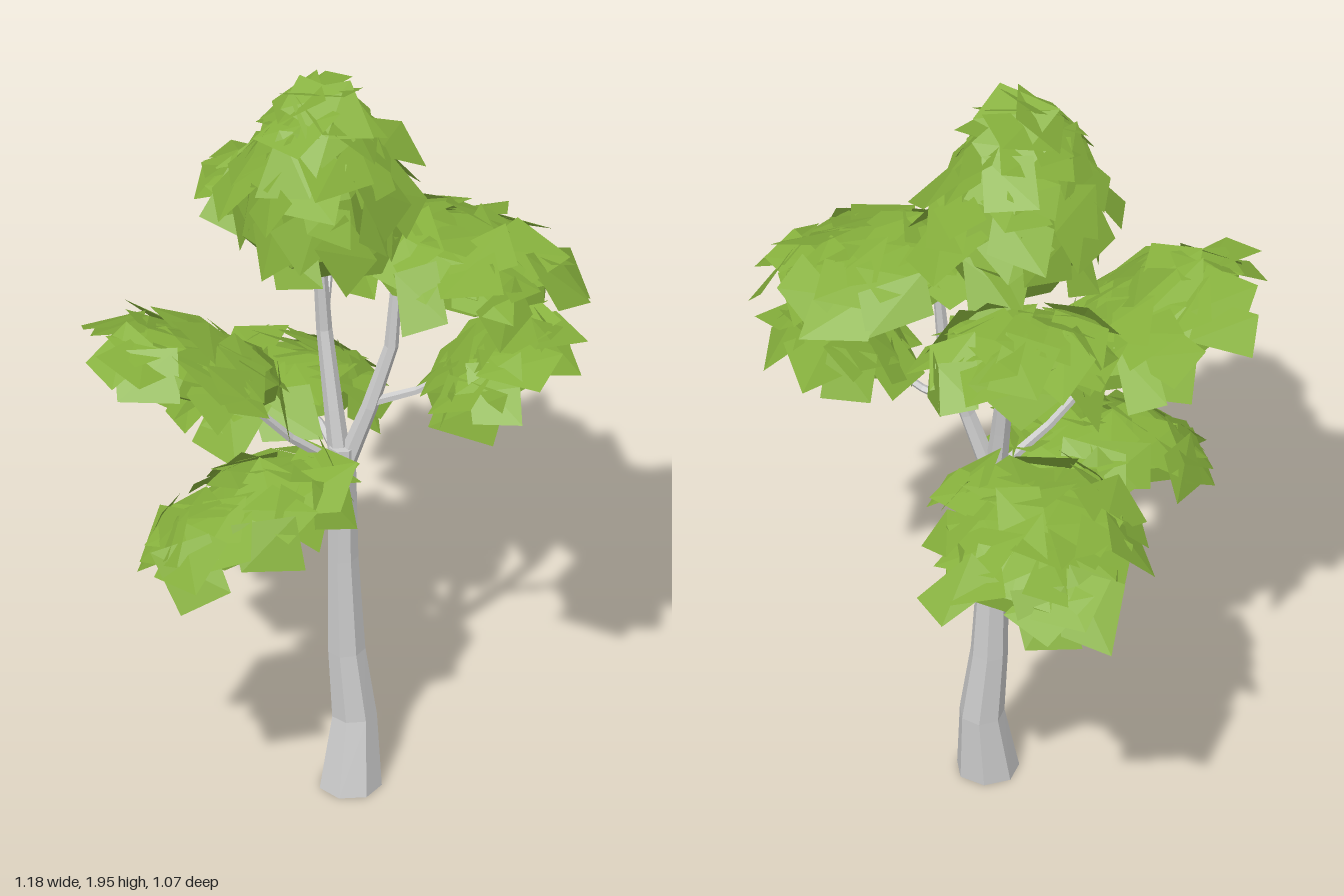
import * as THREE from 'three';
import { mergeGeometries } from 'three/addons/utils/BufferGeometryUtils.js';

const V = (x, y, z) => new THREE.Vector3(x, y, z);

// Small seeded random generator
function seeded(seed) {
  let s = seed * 7919 + 17;
  return () => {
    s = (s * 16807) % 2147483647;
    return s / 2147483647;
  };
}

// Faceted tube through rings given as [x, y, z, radius], open at the foot, closed at the tip
function limb(rings, sides) {
  const pos = [], index = [];
  const pts = rings.map(r => V(r[0], r[1], r[2]));
  rings.forEach((r, i) => {
    const dir = pts[Math.min(i + 1, pts.length - 1)].clone().sub(pts[Math.max(i - 1, 0)]).normalize();
    if (r[1] === 0) dir.set(0, 1, 0); // flat foot on the ground
    const q = new THREE.Quaternion().setFromUnitVectors(V(0, 1, 0), dir);
    for (let k = 0; k < sides; k++) {
      const a = k / sides * Math.PI * 2;
      const p = V(Math.sin(a) * r[3], 0, Math.cos(a) * r[3]).applyQuaternion(q).add(pts[i]);
      pos.push(p.x, p.y, p.z);
      if (i > 0) {
        const n = (k + 1) % sides, lo = (i - 1) * sides, hi = i * sides;
        index.push(lo + k, lo + n, hi + n, lo + k, hi + n, hi + k);
      }
    }
  });
  const last = (rings.length - 1) * sides;
  for (let k = 1; k < sides - 1; k++) index.push(last, last + k, last + k + 1);
  const g = new THREE.BufferGeometry();
  g.setAttribute('position', new THREE.Float32BufferAttribute(pos, 3));
  g.setIndex(index);
  g.computeVertexNormals();
  return g;
}

// Coarse faceted core with a shallow underside; taper narrows the top
function coreGeometry({ half, taper, flat }) {
  const g = new THREE.SphereGeometry(1, 7, 5);
  const p = g.attributes.position;
  for (let i = 0; i < p.count; i++) {
    const x = p.getX(i), y = p.getY(i), z = p.getZ(i);
    const s = 0.88 * (1 - taper * Math.max(y, 0));
    p.setXYZ(i, x * half[0] * s, (y < 0 ? y * flat : y * 0.85) * half[1], z * half[2] * s);
  }
  g.computeVertexNormals();
  return g;
}

// One skewed leaf card, slightly folded along its diagonal
function leafCard(size, rnd) {
  const g = new THREE.PlaneGeometry(size * (0.85 + rnd() * 0.5), size * (0.75 + rnd() * 0.4));
  const p = g.attributes.position;
  const skew = (rnd() - 0.5) * 0.5;
  for (let i = 0; i < 4; i++) {
    p.setXYZ(i,
      p.getX(i) + p.getY(i) * skew + (rnd() - 0.5) * size * 0.15,
      p.getY(i) + (rnd() - 0.5) * size * 0.15,
      (i === 0 || i === 3 ? -1 : 1) * size * 0.03);
  }
  return g;
}

// Leaf cards spread over the upper shell of the clump, drooping at the rim
function leavesGeometry({ half, taper, count, size, low }, rnd) {
  const cards = [];
  for (let i = 0; i < count; i++) {
    const y = low + (1 - low) * (i + 0.5) / count;
    const a = i * 2.39996 + (rnd() - 0.5) * 0.6;
    const r = Math.sqrt(Math.max(0, 1 - y * y));
    const s = 0.86 * (1 - taper * Math.max(y, 0)) + (rnd() - 0.5) * 0.16;
    const at = V(Math.cos(a) * r * half[0] * s, y * half[1] * 0.9, Math.sin(a) * r * half[2] * s);
    const normal = V(
      Math.cos(a) * r / half[0],
      y / half[1] + 0.7 * r / half[0],
      Math.sin(a) * r / half[2]).normalize();
    normal.add(V(rnd() - 0.5, rnd() - 0.5, rnd() - 0.5).multiplyScalar(0.6)).normalize();
    const g = leafCard(size, rnd);
    g.rotateZ(rnd() * Math.PI * 2);
    g.applyQuaternion(new THREE.Quaternion().setFromUnitVectors(V(0, 0, 1), normal));
    g.translate(at.x, at.y, at.z);
    cards.push(g);
  }
  return mergeGeometries(cards);
}

export function createModel() {
  const tree = new THREE.Group();
  tree.name = 'tree';
  const bark = new THREE.MeshStandardMaterial({ color: 0xcccccc, flatShading: true, side: THREE.DoubleSide });
  const green = new THREE.MeshStandardMaterial({ color: 0x86b03c, flatShading: true, side: THREE.DoubleSide });

  // Trunk and branches: rings of [x, y, z, radius]
  const limbs = {
    trunk: [7, [[0.085, 0, 0.14, 0.075], [0.105, 0.18, 0.125, 0.054], [0.09, 0.36, 0.115, 0.045],
      [0.08, 0.62, 0.115, 0.037], [0.075, 0.93, 0.12, 0.032]]],
    mainStem: [6, [[0.073, 0.87, 0.118, 0.027], [0.07, 1.02, 0.09, 0.023], [0.068, 1.22, 0.05, 0.019],
      [0.055, 1.42, 0.05, 0.016], [0.04, 1.58, 0.06, 0.011]]],
    sideStem: [6, [[0.08, 0.87, 0.12, 0.025], [0.13, 1.04, 0.155, 0.02], [0.18, 1.2, 0.17, 0.017],
      [0.2, 1.44, 0.17, 0.012]]],
    backBranch: [5, [[0.07, 1.24, 0.045, 0.012], [0.125, 1.34, -0.02, 0.01], [0.17, 1.48, -0.1, 0.008]]],
    rightBranch: [5, [[0.07, 0.88, 0.12, 0.013], [-0.06, 0.99, 0.11, 0.011], [-0.27, 1.23, 0.09, 0.008]]],
    leftBranch: [5, [[0.13, 1.05, 0.155, 0.012], [0.22, 1.09, 0.22, 0.01], [0.34, 1.18, 0.31, 0.007]]],
    lowFrontBranch: [5, [[0.07, 0.87, 0.12, 0.012], [-0.02, 0.89, 0.14, 0.01], [-0.17, 0.88, 0.17, 0.007]]],
    lowBackBranch: [5, [[0.075, 0.88, 0.11, 0.012], [0.09, 0.92, 0.0, 0.01], [0.1, 0.93, -0.17, 0.007]]],
  };
  for (const [name, [sides, rings]] of Object.entries(limbs)) {
    const m = new THREE.Mesh(limb(rings, sides), bark);
    m.name = name;
    tree.add(m);
  }

  // Foliage clumps: centre, half sizes and tilt
  const clumps = [
    { name: 'crownFoliage', at: [0.02, 1.66, 0.095], half: [0.27, 0.3, 0.22], tilt: [0, 0.75, 0.15],
      taper: 0.5, flat: 0.75, count: 52, low: -0.4, size: 0.13 },
    { name: 'upperFrontFoliage', at: [0.31, 1.44, 0.26], half: [0.28, 0.1, 0.23], tilt: [0.05, -0.6, -0.12], count: 28 },
    { name: 'upperBackFoliage', at: [0.15, 1.48, -0.22], half: [0.24, 0.065, 0.16], tilt: [0, 0, -0.08], count: 22 },
    { name: 'rightFoliage', at: [-0.31, 1.25, 0.08], half: [0.27, 0.09, 0.23], tilt: [0, 0, -0.45], count: 28 },
    { name: 'leftFoliage', at: [0.37, 1.18, 0.34], half: [0.18, 0.07, 0.16], tilt: [-0.1, 0, 0.4], count: 18 },
    { name: 'lowFrontFoliage', at: [-0.2, 0.85, 0.16], half: [0.28, 0.08, 0.18], tilt: [0, 0, 0.22], count: 26 },
    { name: 'lowBackFoliage', at: [0.09, 0.91, -0.22], half: [0.26, 0.09, 0.29], tilt: [-0.22, 0, -0.06], count: 30 },
  ];
  clumps.forEach((c, i) => {
    const spec = { taper: 0.1, flat: 0.6, low: -0.1, size: 0.13, ...c };
    const group = new THREE.Group();
    group.name = c.name;
    const core = new THREE.Mesh(coreGeometry(spec), green);
    core.name = 'core';
    const leaves = new THREE.Mesh(leavesGeometry(spec, seeded(i + 3)), green);
    leaves.name = 'leaves';
    group.add(core, leaves);
    group.position.set(...c.at);
    group.rotation.set(...c.tilt);
    tree.add(group);
  });
  return tree;
}
